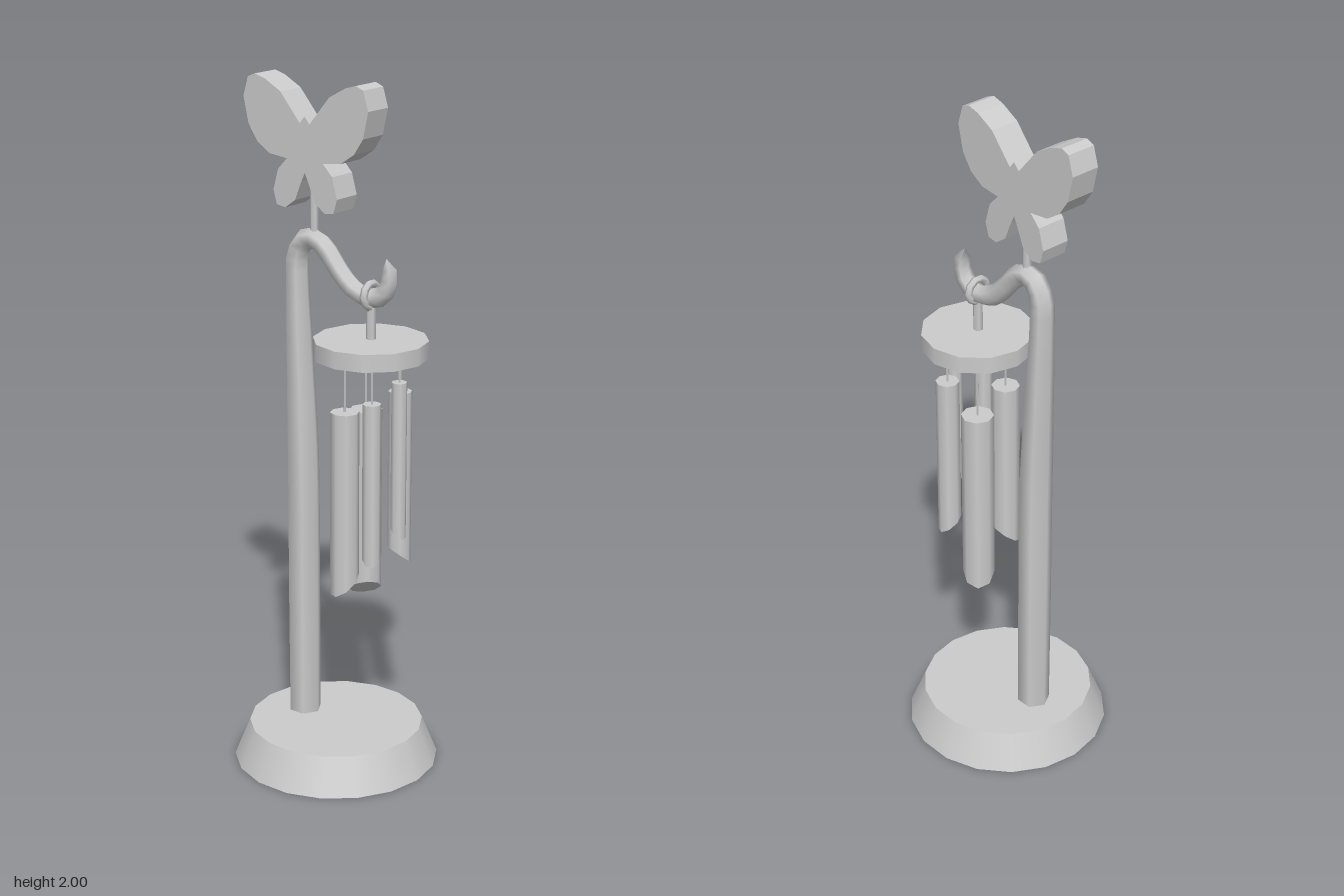
import * as THREE from 'three';
import { mergeGeometries } from 'three/addons/utils/BufferGeometryUtils.js';

const material = new THREE.MeshStandardMaterial({ color: 0xcccccc, side: THREE.DoubleSide });

function part(name, geometry, parent, x = 0, y = 0, z = 0) {
  const mesh = new THREE.Mesh(geometry, material);
  mesh.name = name;
  mesh.position.set(x, y, z);
  parent.add(mesh);
  return mesh;
}

// Upright rod between two heights
function rod(name, parent, x, z, y0, y1, r, sides = 6) {
  return part(name, new THREE.CylinderGeometry(r, r, y1 - y0, sides), parent, x, (y0 + y1) / 2, z);
}

// Lid with a side wall, hollow underneath
function lid(rTop, rBottom, height, sides) {
  const wall = new THREE.CylinderGeometry(rTop, rBottom, height, sides, 1, true)
    .rotateY(Math.PI / 2).translate(0, height / 2, 0);
  const cap = new THREE.CircleGeometry(rTop, sides).rotateX(-Math.PI / 2).translate(0, height, 0);
  return mergeGeometries([wall, cap]);
}

// Tube whose thickness varies; each stop is [x, y, radius]
function taperedTube(stops, segments, sides) {
  const path = new THREE.CatmullRomCurve3(stops.map(([x, y]) => new THREE.Vector3(x, y, 0)));
  const radii = new THREE.CatmullRomCurve3(
    stops.map(([x, y, r]) => new THREE.Vector3(x, y, r)), false, 'catmullrom', 0.3);
  const geometry = new THREE.TubeGeometry(path, segments, 1, sides);
  const { position, normal } = geometry.attributes;
  const n = new THREE.Vector3();
  for (let i = 0; i <= segments; i++) {
    const centre = path.getPointAt(i / segments);
    const tangent = path.getTangentAt(i / segments);
    const r = Math.max(0, radii.getPoint(path.getUtoTmapping(i / segments)).z);
    for (let j = 0; j <= sides; j++) {
      const k = i * (sides + 1) + j;
      // Quarter turn puts a corner of the section in the plane of the bend
      n.fromBufferAttribute(normal, k).applyAxisAngle(tangent, Math.PI / 2);
      normal.setXYZ(k, n.x, n.y, n.z);
      position.setXYZ(k, centre.x + n.x * r, centre.y + n.y * r, centre.z + n.z * r);
    }
  }
  return geometry;
}

// Chime pipe hanging from y = 0, cut off at a slant with its low side facing (dx, dz)
function pipeGeometry(r, length, dx, dz) {
  const geometry = new THREE.CylinderGeometry(r, r, length, 8).translate(0, -length / 2, 0);
  const p = geometry.attributes.position;
  const d = Math.hypot(dx, dz);
  for (let i = 0; i < p.count; i++) {
    if (p.getY(i) > -length / 2) continue;
    const outward = (p.getX(i) * dx + p.getZ(i) * dz) / d;
    p.setY(i, -length + 0.75 * (r - outward));
  }
  return geometry;
}

function butterflyGeometry() {
  // Right half of the outline, top to bottom
  const half = [
    [0, 1.9], [0.017, 1.88], [0.085, 1.96], [0.14, 1.99], [0.175, 2], [0.2, 1.99], [0.217, 1.935],
    [0.2, 1.86], [0.17, 1.815], [0.125, 1.785], [0.063, 1.778], [0.095, 1.745],
    [0.112, 1.685], [0.1, 1.645], [0.07, 1.64], [0.035, 1.665], [0.012, 1.72], [0, 1.745],
  ];
  const mirrored = half.slice(1, -1).reverse().map(([x, y]) => [-x, y]);
  const shape = new THREE.Shape([...half, ...mirrored].map(([x, y]) => new THREE.Vector2(x, y)));
  return new THREE.ExtrudeGeometry(shape, { depth: 0.088, bevelEnabled: false });
}

export function createModel() {
  const model = new THREE.Group();
  model.name = 'windChimeStand';

  part('base', lid(0.255, 0.3, 0.11, 18), model);

  // Post that thins upward and bends over into a hook
  part('postAndHook', taperedTube([
    [-0.117, 0.1, 0.048], [-0.118, 0.5, 0.049], [-0.12, 0.9, 0.048], [-0.132, 1.25, 0.04],
    [-0.138, 1.42, 0.035], [-0.136, 1.5, 0.034], [-0.115, 1.543, 0.032], [-0.075, 1.555, 0.03],
    [-0.035, 1.53, 0.03], [0.015, 1.472, 0.029], [0.065, 1.43, 0.029], [0.125, 1.415, 0.028],
    [0.17, 1.437, 0.027], [0.186, 1.48, 0.024], [0.181, 1.52, 0.02], [0.174, 1.533, 0.001],
  ], 60, 6), model);

  // Ornament on top
  const ornament = new THREE.Group();
  ornament.name = 'butterflyOrnament';
  ornament.position.x = -0.077;
  model.add(ornament);
  rod('ornamentStem', ornament, 0, 0, 1.56, 1.76, 0.012);
  part('butterfly', butterflyGeometry(), ornament, 0, 0, -0.047);

  // Hanger: loop around the hook, stem and disc
  const chime = new THREE.Group();
  chime.name = 'windChime';
  model.add(chime);
  part('hangingLoop', new THREE.TorusGeometry(0.034, 0.011, 6, 10), chime, 0.122, 1.424, 0)
    .rotation.y = Math.PI / 2;
  rod('discStem', chime, 0.122, 0, 1.29, 1.39, 0.014);
  part('disc', lid(0.162, 0.162, 0.05, 12), chime, 0.122, 1.25, 0);

  // Pipes: x, z, radius, top, lowest point
  const pipes = [
    [0.06, -0.06, 0.047, 1.07, 0.49],
    [0.088, 0.073, 0.041, 1.1, 0.555],
    [0.168, -0.077, 0.034, 1.14, 0.625],
    [0.18, 0.07, 0.026, 1.14, 0.665],
    [0.214, -0.01, 0.022, 1.19, 0.73],
  ];
  for (const [x, z, r, top, bottom] of pipes) {
    rod('string', chime, x, z, top, 1.3, 0.004, 4);
    part('pipe', pipeGeometry(r, top - bottom, x - 0.122, z), chime, x, top, z);
  }
  return model;
}
